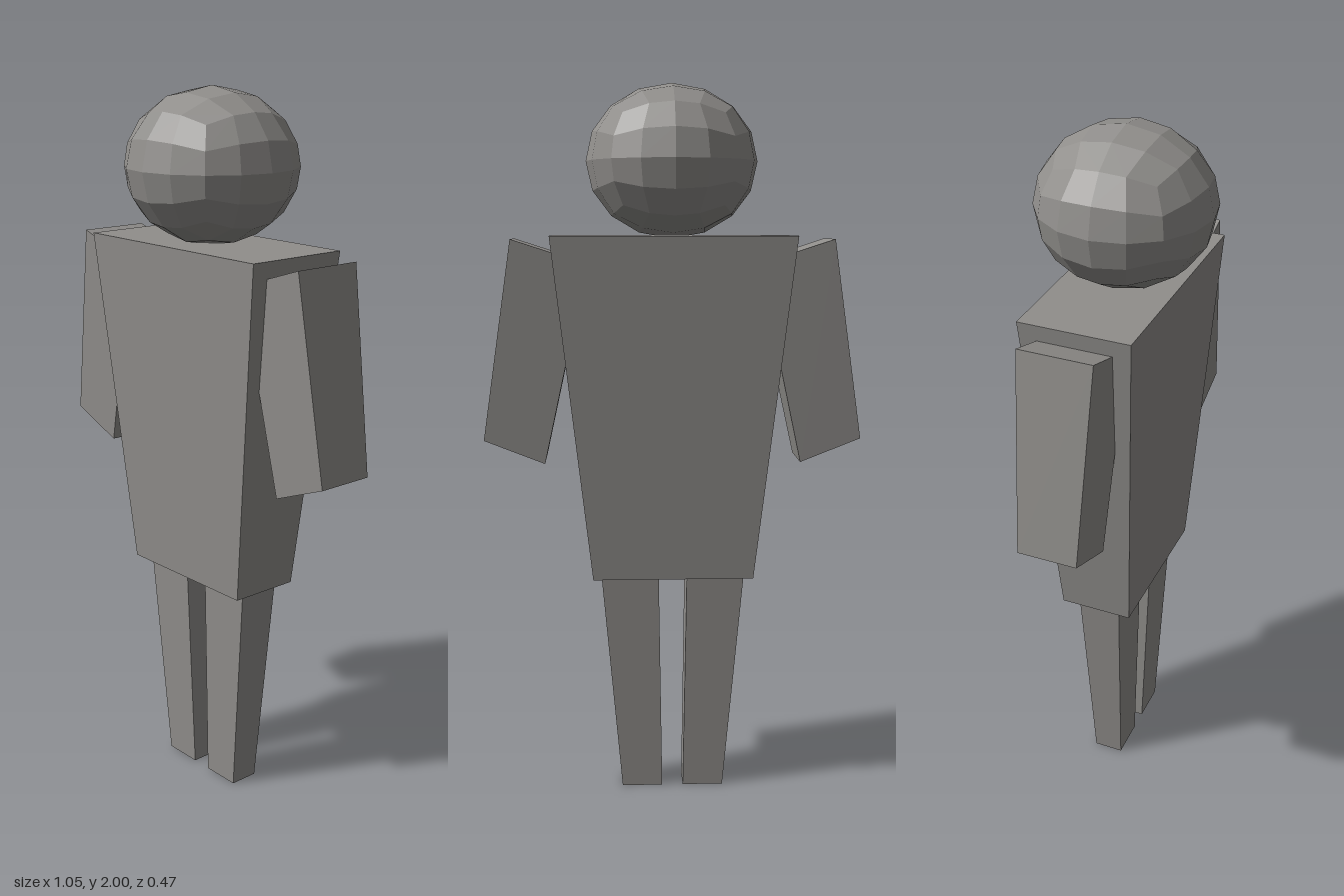
import * as THREE from 'three';

const color = 0x908e8b;
const bodyMaterial = new THREE.MeshStandardMaterial({ color, flatShading: true });
const headMaterial = new THREE.MeshStandardMaterial({ color });

// Box reshaped to four front corners [x, y], with its own half depth at top and bottom
function taperedBox(name, { topLow, topHigh, bottomLow, bottomHigh, depthTop, depthBottom }) {
  const geometry = new THREE.BoxGeometry(1, 1, 1);
  const p = geometry.attributes.position;
  for (let i = 0; i < p.count; i++) {
    const top = p.getY(i) > 0, high = p.getX(i) > 0;
    const [x, y] = top ? (high ? topHigh : topLow) : (high ? bottomHigh : bottomLow);
    p.setXYZ(i, x, y, Math.sign(p.getZ(i)) * (top ? depthTop : depthBottom));
  }
  geometry.computeVertexNormals();
  const mesh = new THREE.Mesh(geometry, bodyMaterial);
  mesh.name = name;
  return mesh;
}

// Same part on the other side: flip x and swap the low and high corners
function mirrored(c) {
  const flip = ([x, y]) => [-x, y];
  return {
    ...c,
    topLow: flip(c.topHigh), topHigh: flip(c.topLow),
    bottomLow: flip(c.bottomHigh), bottomHigh: flip(c.bottomLow),
  };
}

// Faceted ball made from a subdivided cube with even angular steps
function createHead() {
  const geometry = new THREE.BoxGeometry(2, 2, 2, 4, 4, 4).toNonIndexed();
  const p = geometry.attributes.position;
  const v = new THREE.Vector3();
  const spread = (t) => Math.tan(t * Math.PI / 4);
  for (let i = 0; i < p.count; i++) {
    v.set(spread(p.getX(i)), spread(p.getY(i)), spread(p.getZ(i))).normalize();
    p.setXYZ(i, v.x * 0.237, v.y * 0.21, v.z * 0.237);
  }
  geometry.computeVertexNormals();

  // One shared normal for the two triangles of each four-sided facet
  const n = geometry.attributes.normal;
  const second = new THREE.Vector3();
  for (let i = 0; i < n.count; i += 6) {
    v.fromBufferAttribute(n, i).add(second.fromBufferAttribute(n, i + 3)).normalize();
    for (let k = i; k < i + 6; k++) n.setXYZ(k, v.x, v.y, v.z);
  }

  const head = new THREE.Mesh(geometry, headMaterial);
  head.name = 'head';
  head.position.y = 1.79;
  return head;
}

export function createModel() {
  const model = new THREE.Group();
  model.name = 'figure';

  const torso = {
    topLow: [-0.335, 1.588], topHigh: [0.335, 1.588],
    bottomLow: [-0.225, 0.632], bottomHigh: [0.225, 0.632],
    depthTop: 0.153, depthBottom: 0.102,
  };
  const arm = {
    topLow: [0.235, 1.512], topHigh: [0.442, 1.579],
    bottomLow: [0.356, 0.961], bottomHigh: [0.524, 1.027],
    depthTop: 0.102, depthBottom: 0.083,
  };
  const leg = {
    topLow: [0.04, 0.632], topHigh: [0.202, 0.632],
    bottomLow: [0.03, 0], bottomHigh: [0.145, 0],
    depthTop: 0.061, depthBottom: 0.042,
  };

  model.add(
    createHead(),
    taperedBox('torso', torso),
    taperedBox('leftArm', arm),
    taperedBox('rightArm', mirrored(arm)),
    taperedBox('leftLeg', leg),
    taperedBox('rightLeg', mirrored(leg)),
  );
  return model;
}
